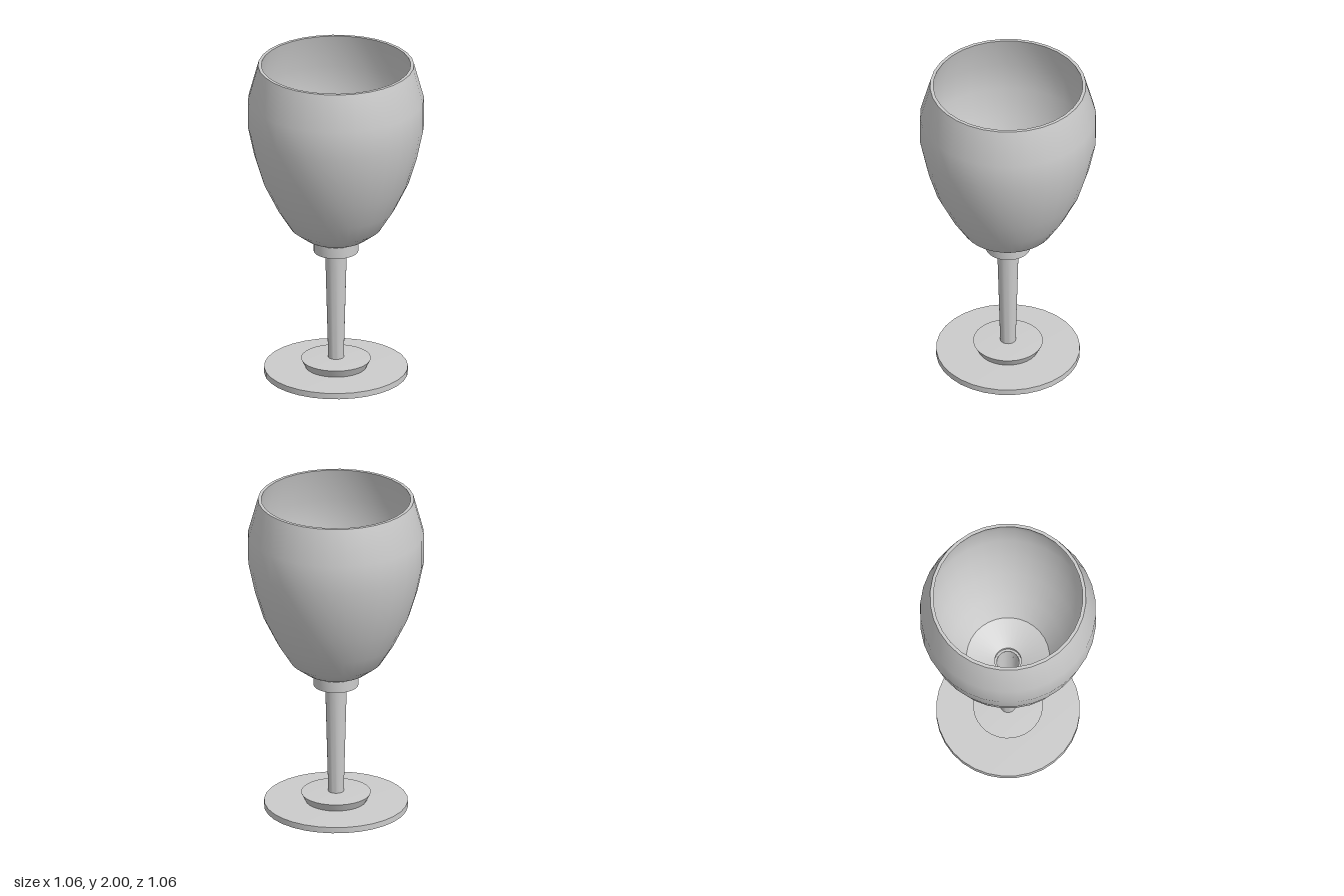
import * as THREE from 'three';
import { toCreasedNormals } from 'three/addons/utils/BufferGeometryUtils.js';

const material = new THREE.MeshStandardMaterial({ color: 0xcccccc, side: THREE.DoubleSide });

// Turned part from [radius, height] pairs, running up the outside and down the inside
function turned(name, profile) {
  const points = profile.map(([r, y]) => new THREE.Vector2(r, y));
  const geometry = toCreasedNormals(new THREE.LatheGeometry(points, 32), 0.6);
  const mesh = new THREE.Mesh(geometry, material);
  mesh.name = name;
  return mesh;
}

export function createModel() {
  const goblet = new THREE.Group();
  goblet.name = 'goblet';

  // Flat foot with a small flared disc on it
  goblet.add(turned('foot', [[0, 0], [0.433, 0], [0.433, 0.037], [0, 0.042]]));
  goblet.add(turned('footDisc', [[0.185, 0.04], [0.21, 0.09], [0, 0.1]]));

  // Hollow tapered stem, open into the bowl
  goblet.add(turned('stem', [[0.047, 0.095], [0.067, 0.86]]));

  // Ring under the bowl
  goblet.add(turned('collar', [[0.065, 0.785], [0.135, 0.79], [0.135, 0.86], [0.067, 0.862]]));

  // Bowl: outer wall, rim, inner wall and sloping floor with a central hole
  goblet.add(turned('bowl', [
    [0.08, 0.865], [0.19, 0.886], [0.275, 0.95], [0.355, 1.077], [0.44, 1.25],
    [0.492, 1.42], [0.53, 1.6], [0.53, 1.78], [0.47, 2],
    [0.45, 2], [0.508, 1.78], [0.508, 1.6], [0.472, 1.42], [0.42, 1.25],
    [0.335, 1.085], [0.25, 0.95], [0.08, 0.885], [0.08, 0.865],
  ]));

  return goblet;
}
